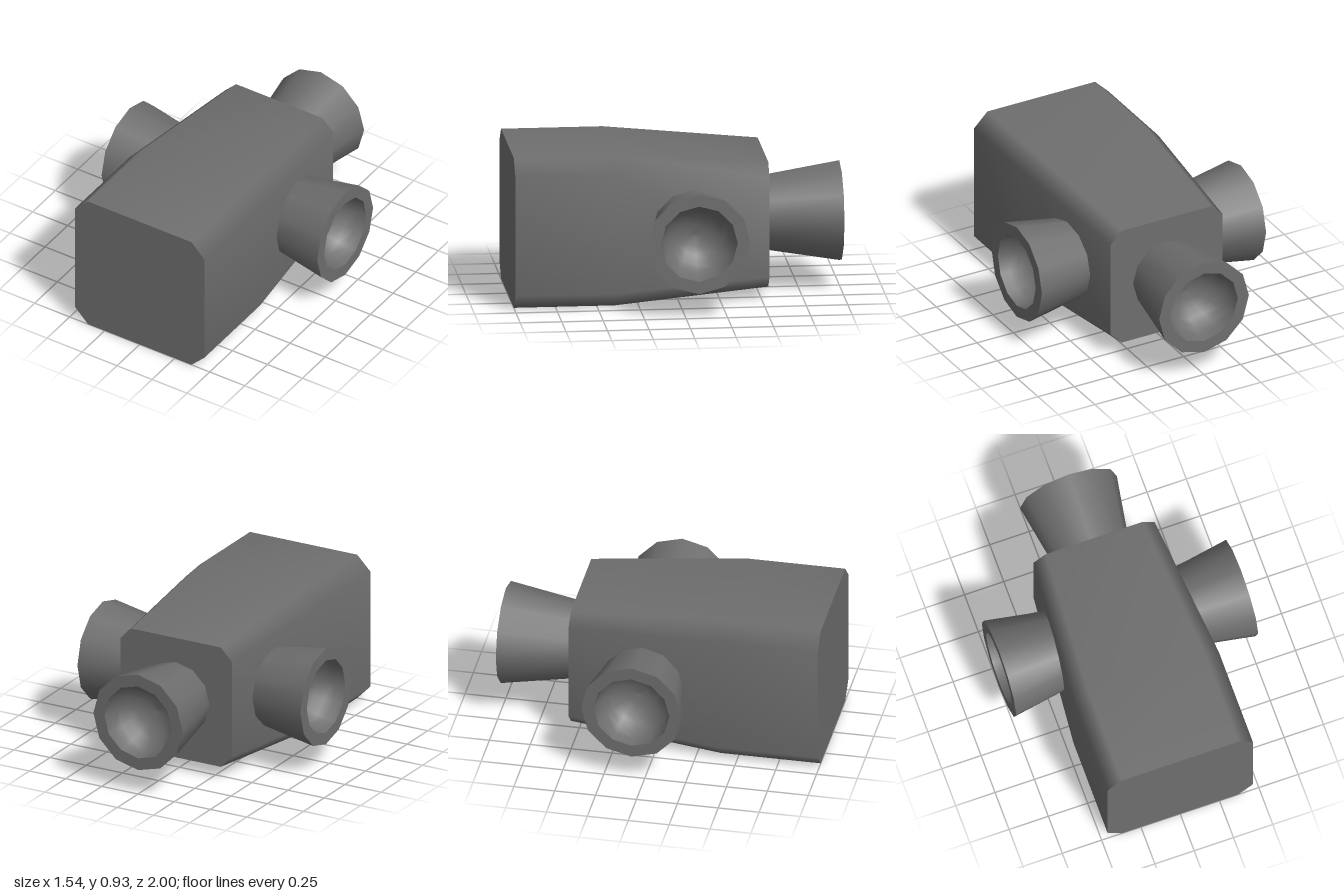
import * as THREE from 'three';

const CY = 0.4625; // height of the centre axis

export function createModel() {
  const group = new THREE.Group();
  const grey = new THREE.MeshStandardMaterial({ color: 0x6e6e6e });
  grey.name = 'dark grey';

  const add = (parent, name, geometry) => {
    const mesh = new THREE.Mesh(geometry, grey);
    mesh.name = name;
    parent.add(mesh);
    return mesh;
  };

  // Chamfered square cross-section, anticlockwise seen from the front
  const section = (h) => {
    const c = h * 0.8;
    return [[h, -c], [h, c], [c, h], [-c, h], [-h, c], [-h, -c], [-c, -h], [c, -h]];
  };

  // Body shell: straight front, tapered back, smooth over the chamfers
  const stations = [[0.4625, 1], [0.4625, 0.39], [0.385, -0.54]];
  const positions = [], index = [];
  stations.forEach(([h, z], s) => {
    section(h).forEach(([x, y]) => positions.push(x, y, z));
    if (s === 0) return;
    for (let i = 0; i < 8; i++) {
      const a = (s - 1) * 8 + i, b = (s - 1) * 8 + (i + 1) % 8;
      index.push(a, a + 8, b, b, a + 8, b + 8);
    }
  });
  const shell = new THREE.BufferGeometry();
  shell.setAttribute('position', new THREE.Float32BufferAttribute(positions, 3));
  shell.setIndex(index);
  shell.computeVertexNormals();

  const body = new THREE.Group();
  body.name = 'body';
  body.position.y = CY;
  group.add(body);
  add(body, 'bodyShell', shell);

  // Flat end caps
  const cap = (h) => new THREE.ShapeGeometry(
    new THREE.Shape(section(h).map(([x, y]) => new THREE.Vector2(x, y))));
  add(body, 'frontCap', cap(0.4625)).position.z = 1;
  const back = add(body, 'backCap', cap(0.385));
  back.position.z = -0.54;
  back.rotation.y = Math.PI;

  // Flared nozzle with a flat rim and a bowl-shaped bore, opening along +y
  const R = 0.308, BORE = 0.232, LENGTH = 0.46;
  const lathe = (points) => new THREE.LatheGeometry(
    points.map(([r, y]) => new THREE.Vector2(r, y)), 12);
  const bowl = [];
  for (let i = 0; i <= 6; i++) {
    const t = (i / 6) * Math.PI / 2;
    bowl.push([i === 6 ? 0 : BORE * Math.cos(t), LENGTH - BORE * Math.sin(t)]);
  }
  const wallGeometry = lathe([[0.23, 0], [R, LENGTH]]);
  const rimGeometry = lathe([[R, LENGTH], [BORE, LENGTH]]);
  const boreGeometry = lathe(bowl);

  const nozzle = (name, position, rotation) => {
    const n = new THREE.Group();
    n.name = name;
    add(n, 'nozzleWall', wallGeometry);
    add(n, 'nozzleRim', rimGeometry);
    add(n, 'nozzleBore', boreGeometry);
    n.position.set(...position);
    n.rotation.set(...rotation);
    group.add(n);
  };
  nozzle('backNozzle', [0, CY, -0.54], [-Math.PI / 2, 0, 0]);
  for (const s of [1, -1]) {
    nozzle(s > 0 ? 'leftNozzle' : 'rightNozzle', [s * 0.31, CY, -0.077], [0, 0, -s * Math.PI / 2]);
  }
  return group;
}
